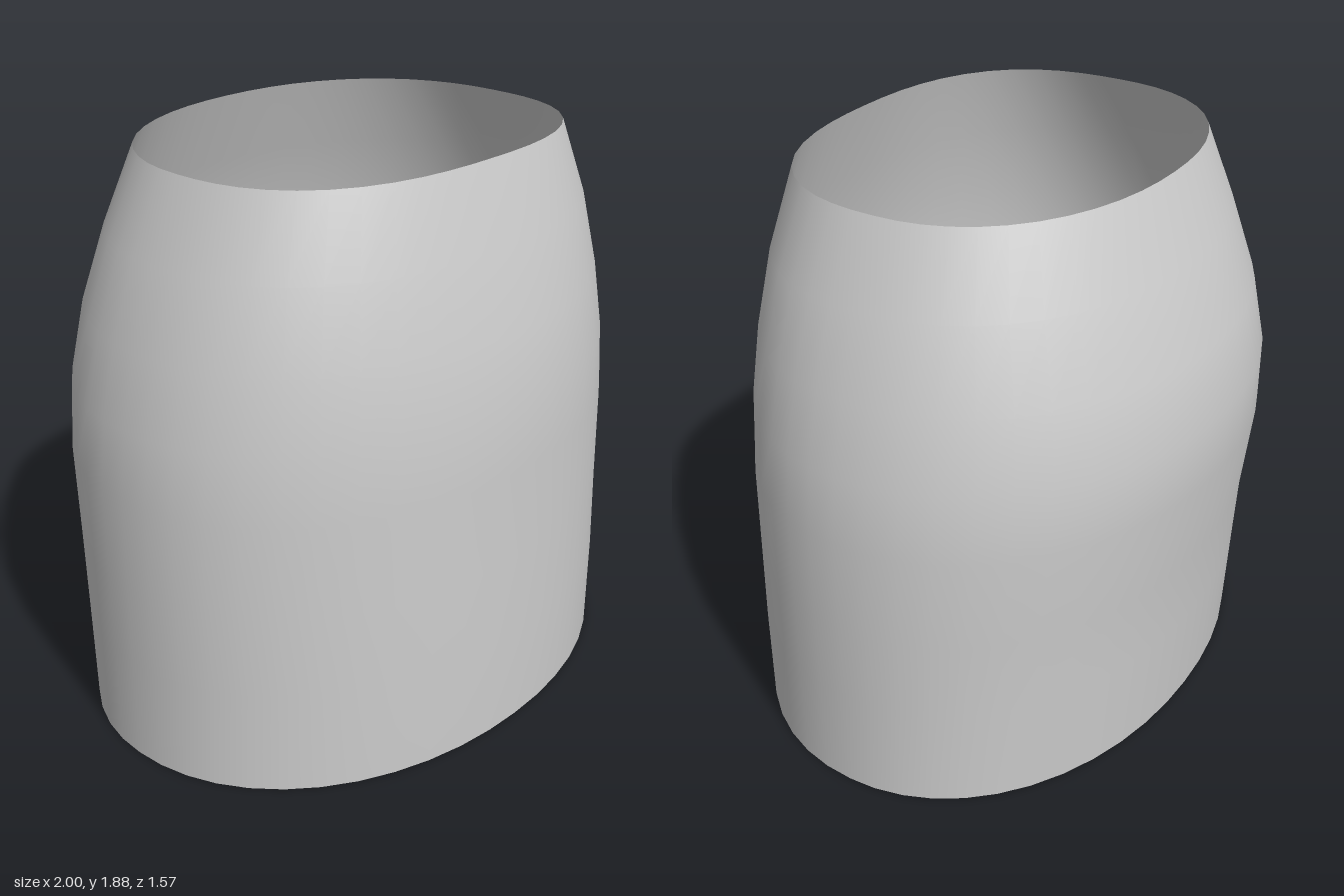
import * as THREE from 'three';

// Ring: height, half width, front z, back z, front and back roundness (2 = ellipse)
const RINGS = [
  [0.00, 1.00, 0.785, -0.70, 2.1, 2.1],
  [0.35, 1.00, 0.785, -0.72, 2.1, 2.1],
  [0.62, 1.00, 0.775, -0.737, 2.1, 2.1],
  [0.93, 0.995, 0.77, -0.775, 2.1, 2.1],
  [1.15, 0.97, 0.765, -0.78, 2.1, 2.1],
  [1.38, 0.915, 0.725, -0.735, 2.2, 2.12],
  [1.63, 0.833, 0.665, -0.645, 2.35, 2.15],
  [1.875, 0.72, 0.59, -0.55, 2.5, 2.2],
];
const SIDES = 48;

// Open sleeve lofted through the rings
function loft(rings) {
  const positions = [], index = [];
  rings.forEach(([y, w, front, back, nf, nb], r) => {
    const mid = 0.02;
    for (let i = 0; i < SIDES; i++) {
      const a = (i / SIDES) * Math.PI * 2, c = Math.cos(a), s = Math.sin(a);
      const n = s > 0 ? nf : nb;
      const k = Math.pow(Math.abs(c) ** n + Math.abs(s) ** n, -1 / n);
      const depth = s > 0 ? front - mid : mid - back;
      // the upper rim lifts slightly at front and back
      const lift = r === rings.length - 1 ? 0.01 * s * s : 0;
      positions.push(c * k * w, y + lift, mid + s * k * depth);
      if (r === 0) continue;
      const j = (i + 1) % SIDES, lo = (r - 1) * SIDES, hi = r * SIDES;
      index.push(lo + i, hi + i, lo + j, hi + i, hi + j, lo + j);
    }
  });
  const geometry = new THREE.BufferGeometry();
  geometry.setAttribute('position', new THREE.Float32BufferAttribute(positions, 3));
  geometry.setIndex(index);
  geometry.computeVertexNormals();
  return geometry;
}

export function createModel() {
  const group = new THREE.Group();
  group.name = 'taperedSleeve';
  const material = new THREE.MeshStandardMaterial({ color: 0xcccccc, side: THREE.DoubleSide });
  const shell = new THREE.Mesh(loft(RINGS), material);
  shell.name = 'shell';
  group.add(shell);
  return group;
}
